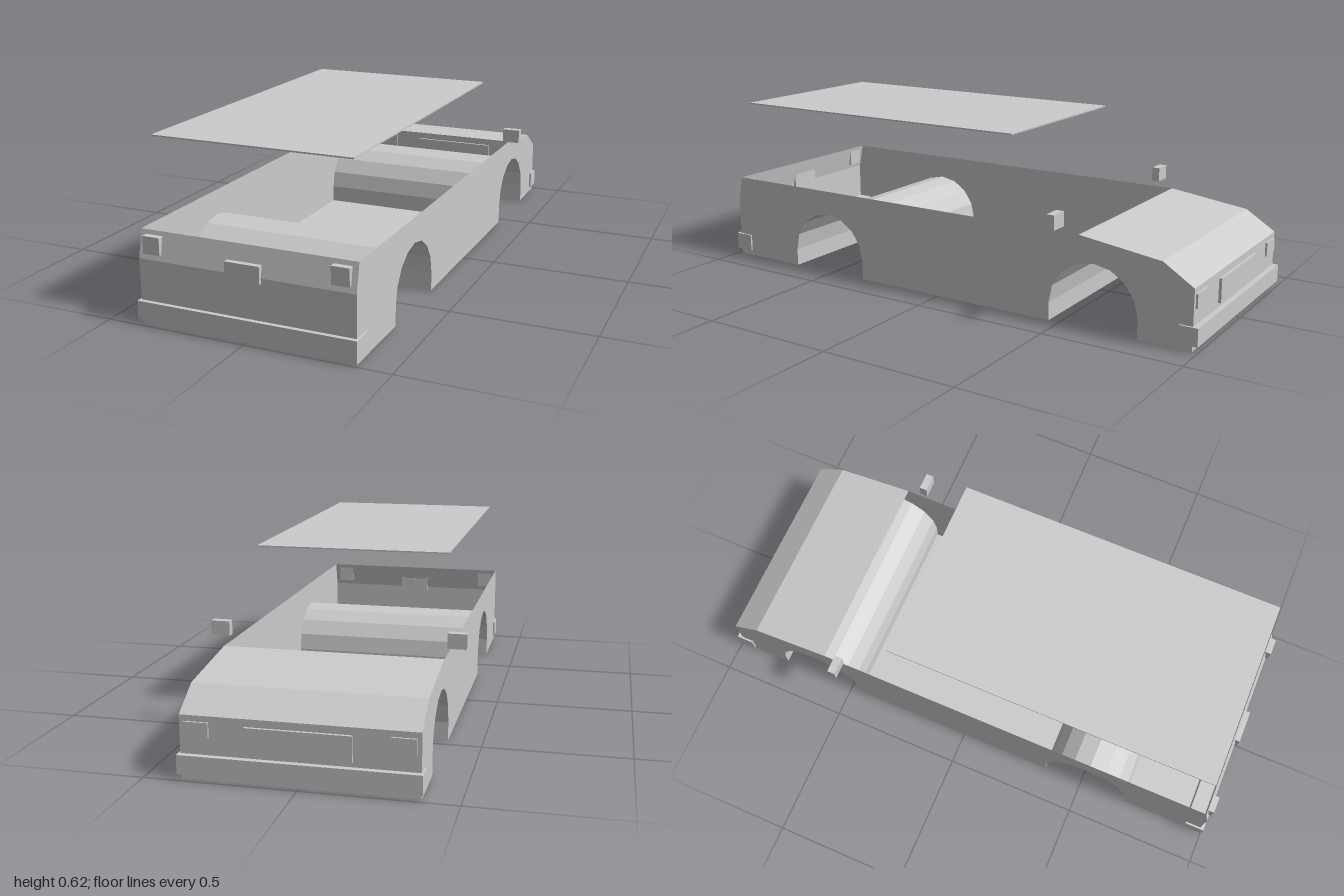
import * as THREE from 'three';

const HALF_WIDTH = 0.38;

// Points of one wheel arch, running towards -z
function archPoints(centre) {
  const r = 0.165, rise = 0.065, n = 8, pts = [[centre + r, 0]];
  for (let i = 0; i <= n; i++) {
    const a = (i / n) * Math.PI;
    pts.push([centre + r * Math.cos(a), rise + r * Math.sin(a)]);
  }
  pts.push([centre - r, 0]);
  return pts;
}

// Strip of flat panels across the car along a [z, y] profile
function ribbon(profile) {
  const pos = [];
  for (let i = 0; i < profile.length - 1; i++) {
    const [z0, y0] = profile[i], [z1, y1] = profile[i + 1], w = HALF_WIDTH;
    pos.push(-w, y0, z0, -w, y1, z1, w, y1, z1);
    pos.push(-w, y0, z0, w, y1, z1, w, y0, z0);
  }
  const geo = new THREE.BufferGeometry();
  geo.setAttribute('position', new THREE.Float32BufferAttribute(pos, 3));
  geo.computeVertexNormals();
  return geo;
}

export function createModel() {
  const car = new THREE.Group();
  car.name = 'openCar';
  const grey = new THREE.MeshStandardMaterial({
    color: 0xcccccc, flatShading: true, side: THREE.DoubleSide,
  });
  grey.name = 'plainGrey';

  const add = (name, geo) => {
    const mesh = new THREE.Mesh(geo, grey);
    mesh.name = name;
    car.add(mesh);
    return mesh;
  };
  // Box given by its limits on each axis
  const box = (name, [x0, x1], [y0, y1], [z0, z1]) =>
    add(name, new THREE.BoxGeometry(x1 - x0, y1 - y0, z1 - z0))
      .position.set((x0 + x1) / 2, (y0 + y1) / 2, (z0 + z1) / 2);

  // Body skin: nose, floor with arches, tail and sloping deck; the cabin stays open
  const profile = [
    [0.965, 0.32], [0.985, 0.225], [0.985, 0],
    ...archPoints(0.515), ...archPoints(-0.625),
    [-0.98, 0], [-0.98, 0.21], [-0.87, 0.28], [-0.57, 0.32],
  ];
  add('bodySkin', ribbon(profile));

  // Side walls
  const outline = new THREE.Shape(profile.map(([z, y]) => new THREE.Vector2(-z, y)));
  for (const [side, s] of [['left', 1], ['right', -1]]) {
    const wall = add(side + 'Side', new THREE.ShapeGeometry(outline));
    wall.rotation.y = Math.PI / 2;
    wall.position.x = s * HALF_WIDTH;
  }

  // Floating roof panel
  box('roof', [-0.348, 0.348], [0.617, 0.622], [-0.29, 0.93]);

  // Bumpers and plates
  box('frontBumper', [-0.387, 0.387], [0.021, 0.084], [0.927, 1]);
  box('rearBumper', [-0.387, 0.387], [0.021, 0.084], [-1, -0.935]);
  box('frontPlate', [-0.061, 0.061], [0.207, 0.266], [0.975, 0.995]);
  box('rearPlate', [-0.17, 0.17], [0.1, 0.185], [-0.99, -0.97]);

  // Lamps and mirrors on both sides
  for (const [side, s] of [['left', 1], ['right', -1]]) {
    const span = (a, b) => (s > 0 ? [a, b] : [-b, -a]);
    box(side + 'Headlight', span(0.299, 0.36), [0.245, 0.305], [0.968, 0.99]);
    box(side + 'TailLight', span(0.285, 0.367), [0.14, 0.19], [-0.987, -0.972]);
    box(side + 'Mirror', span(0.38, 0.446), [0.34, 0.392], [-0.514, -0.485]);
  }
  return car;
}
